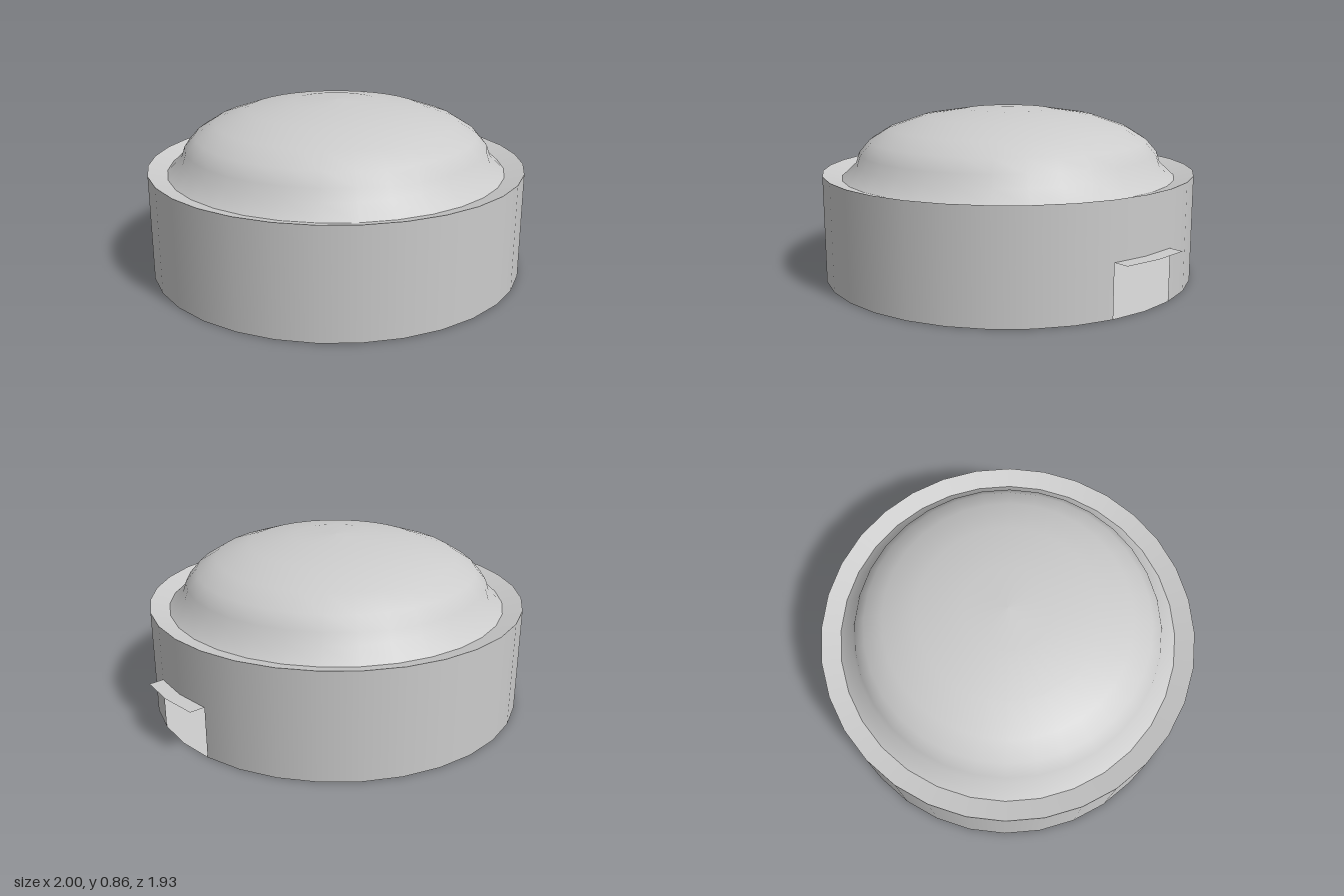
import * as THREE from 'three';

const SIDES = 32;
const STEP = (Math.PI * 2) / SIDES;
const R = 0.963;          // housing radius
const RIM = 0.54;         // housing height
const PORT = 0.26;        // height of the side opening

export function createModel() {
  const model = new THREE.Group();
  const body = new THREE.Group();
  body.name = 'body';
  body.position.x = -0.037;
  model.add(body);

  // Hollow shell, so every surface is drawn from both sides
  const material = new THREE.MeshStandardMaterial({ color: 0xcccccc, side: THREE.DoubleSide });
  const add = (name, geometry, y = 0) => {
    const mesh = new THREE.Mesh(geometry, material);
    mesh.name = name;
    mesh.position.y = y;
    body.add(mesh);
  };
  const lathe = (points) =>
    new THREE.LatheGeometry(points.map(([r, y]) => new THREE.Vector2(r, y)), SIDES);

  // Floor
  add('floor', new THREE.CircleGeometry(R, SIDES).rotateX(Math.PI / 2));

  // Side wall: full ring above, ring with a two-segment opening at +x below
  add('upperWall', new THREE.CylinderGeometry(R, R, RIM - PORT, SIDES, 1, true), (RIM + PORT) / 2);
  add('lowerWall', new THREE.CylinderGeometry(R, R, PORT, SIDES - 2, 1, true,
    Math.PI / 2 + STEP, Math.PI * 2 - 2 * STEP), PORT / 2);

  // Rim sloping inward to the foot of the dome
  add('rim', lathe([[0.866, 0.513], [R, RIM]]));

  // Dome with a flared foot
  add('dome', lathe([
    [0.866, 0.513], [0.793, 0.58], [0.775, 0.635], [0.72, 0.698], [0.62, 0.76],
    [0.45, 0.818], [0.22, 0.853], [0, 0.863],
  ]));

  // Thin canopy above the opening, following the wall outward
  const arc = [-1, 0, 1].map((i) => [R * Math.cos(i * STEP), R * Math.sin(i * STEP)]);
  const outline = [...arc.map(([x, z]) => [x + 0.074, z]), ...[...arc].reverse()];
  const shape = new THREE.Shape(outline.map(([x, z]) => new THREE.Vector2(x, z)));
  add('canopy', new THREE.ShapeGeometry(shape).rotateX(-Math.PI / 2), PORT);

  return model;
}
